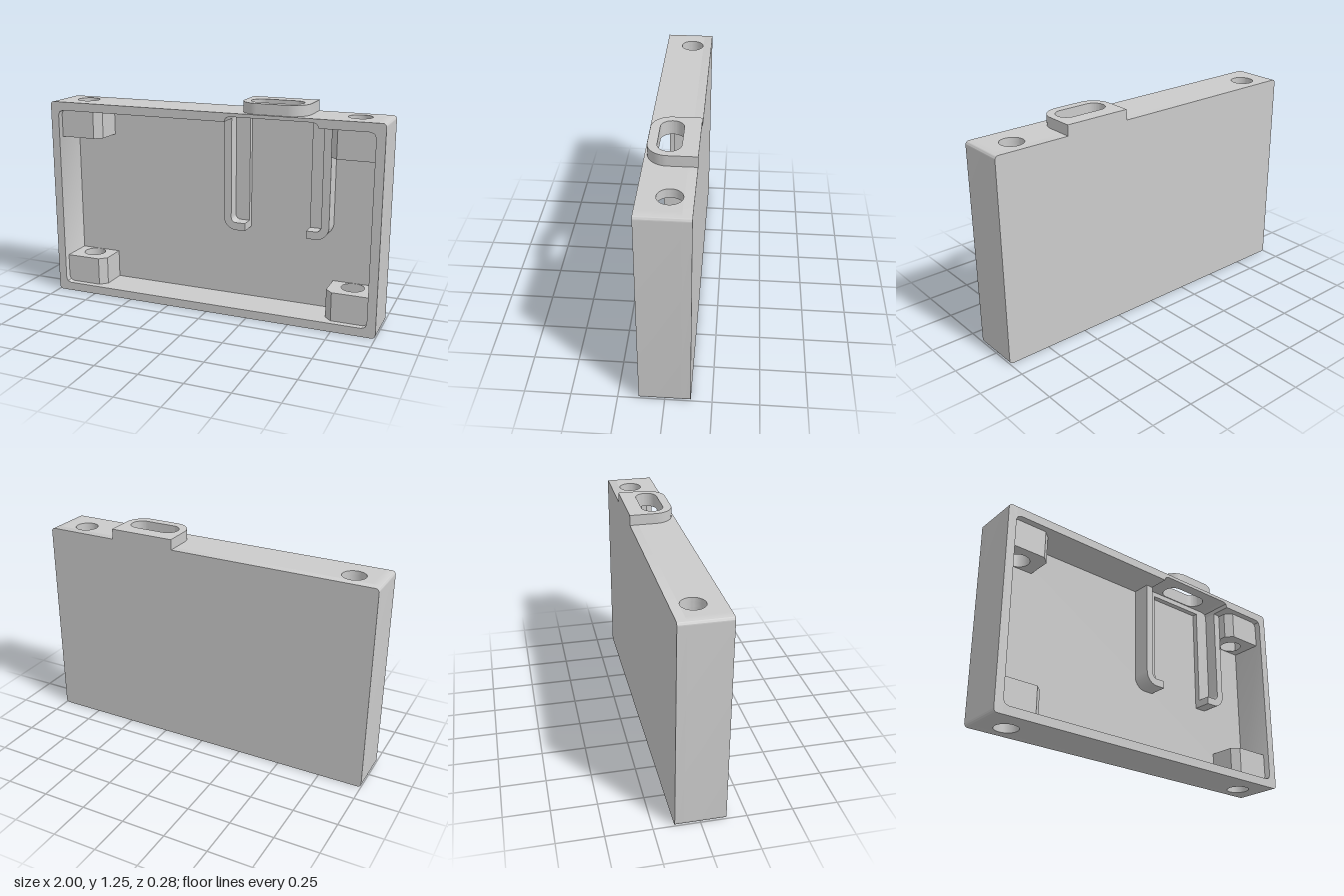
import * as THREE from 'three';
import { toCreasedNormals } from 'three/addons/utils/BufferGeometryUtils.js';

const BACK = -0.137, FRONT = 0.138, FLOOR = -0.088, PAD = -0.056;
const W = 0.95, TOP = 1.185, LOW = 0.05, HIGH = 1.135, NOTCH = 1.165;
const HOLE_X = 0.83, HOLE_Z = -0.02, HOLE_R = 0.065;
const TAB_X = 0.3775;

export function createModel() {
  const group = new THREE.Group();
  const mat = new THREE.MeshStandardMaterial({ color: 0xcccccc });

  const add = (name, geo) => {
    const mesh = new THREE.Mesh(toCreasedNormals(geo, 0.5), mat);
    mesh.name = name;
    group.add(mesh);
  };
  const extrude = (shape, depth) =>
    new THREE.ExtrudeGeometry(shape, { depth, bevelEnabled: false, curveSegments: 20 });
  // outline in x/y, extruded from z0 to z1
  const plate = (name, shape, z0, z1) => add(name, extrude(shape, z1 - z0).translate(0, 0, z0));
  // outline in x/z, extruded from y0 to y1
  const slab = (name, shape, y0, y1) =>
    add(name, extrude(shape, y1 - y0).rotateX(Math.PI / 2).translate(0, y1, 0));

  // polygon from [x, y] points; a point [x, y, r] gets a corner of radius r
  const outline = (pts) => {
    const s = new THREE.Shape();
    const n = pts.length;
    pts.forEach(([x, y, r = 0], i) => {
      const toward = ([px, py]) => {
        const d = Math.hypot(px - x, py - y);
        return [x + ((px - x) * r) / d, y + ((py - y) * r) / d];
      };
      const a = toward(pts[(i + n - 1) % n]), b = toward(pts[(i + 1) % n]);
      if (i === 0) s.moveTo(...a); else s.lineTo(...a);
      if (r) {
        const k = 0.5523;
        s.bezierCurveTo(a[0] + (x - a[0]) * k, a[1] + (y - a[1]) * k,
          b[0] + (x - b[0]) * k, b[1] + (y - b[1]) * k, ...b);
      }
    });
    s.closePath();
    return s;
  };
  const rect = (x0, y0, x1, y1, r = 0) =>
    outline([[x0, y0, r], [x1, y0, r], [x1, y1, r], [x0, y1, r]]);
  const drill = (shape, x) => {
    shape.holes.push(new THREE.Path().absarc(x, HOLE_Z, HOLE_R, 0, Math.PI * 2, true));
    return shape;
  };
  const slot = (shape) => {
    shape.holes.push(rect(TAB_X - 0.15, -0.05, TAB_X + 0.15, 0.075, 0.0624));
    return shape;
  };

  // back panel
  plate('backPanel', rect(-1, 0, 1, TOP, 0.02), BACK, FLOOR);

  // bottom and top walls; the top one is notched underneath for the channel
  const wall = (x0, x1) => rect(x0, FLOOR, x1, FRONT);
  slab('bottomWall', drill(drill(wall(-W, W), -HOLE_X), HOLE_X), 0, LOW);
  slab('topWall', slot(drill(drill(wall(-W, W), -HOLE_X), HOLE_X)), NOTCH, TOP);
  slab('topWallRight', drill(wall(-W, 0.11), -HOLE_X), HIGH, NOTCH);
  slab('topWallLeft', drill(wall(0.645, W), HOLE_X), HIGH, NOTCH);
  slab('notchBack', rect(0.11, FLOOR, 0.645, PAD), HIGH, NOTCH);

  for (const s of [-1, 1]) {
    const side = s > 0 ? 'left' : 'right';

    // side wall with rounded outer corners and inner fillets
    const f = 0.03, c = f * 0.29;
    plate(side + 'Wall', outline([
      [s * W, 0], [s, 0, 0.02], [s, TOP, 0.02], [s * W, TOP], [s * W, HIGH],
      [s * (W - f), HIGH], [s * (W - c), HIGH - c], [s * W, HIGH - f],
      [s * W, LOW + f], [s * (W - c), LOW + c], [s * (W - f), LOW], [s * W, LOW],
    ]), FLOOR, FRONT);

    // chamfered screw bosses
    for (const [name, y0, y1] of [['Lower', LOW, 0.217], ['Upper', 0.97, HIGH]]) {
      slab(side + name + 'Boss', drill(outline([
        [s * W, FLOOR], [s * 0.697, FLOOR], [s * 0.697, 0.06],
        [s * 0.738, 0.1], [s * W, 0.1],
      ]), s * HOLE_X), y0, y1);
    }

    // J-shaped guide rib, its raised pad and the notch corner fillet
    const x = (d) => TAB_X + s * d;
    plate(side + 'GuideRib', outline([
      [x(0.3125), HIGH], [x(0.3125), 0.485, 0.075], [x(0.1825), 0.485],
      [x(0.1825), 0.53], [x(0.2675), 0.53, 0.03], [x(0.2675), HIGH],
    ]), FLOOR, 0.02);
    plate(side + 'GuidePad', rect(x(0.1825), 0.5, x(0.28), HIGH), FLOOR, PAD);
    plate(side + 'NotchFillet', outline([
      [x(0.2675), HIGH], [x(0.2587), NOTCH - 0.0088], [x(0.2375), NOTCH], [x(0.2675), NOTCH],
    ]), PAD, FRONT);
  }

  // slotted tab on top
  slab('slottedTab', slot(outline([
    [TAB_X - 0.1925, BACK], [TAB_X + 0.1925, BACK],
    [TAB_X + 0.1925, 0.125, 0.11], [TAB_X - 0.1925, 0.125, 0.11],
  ])), TOP, 1.245);

  return group;
}
